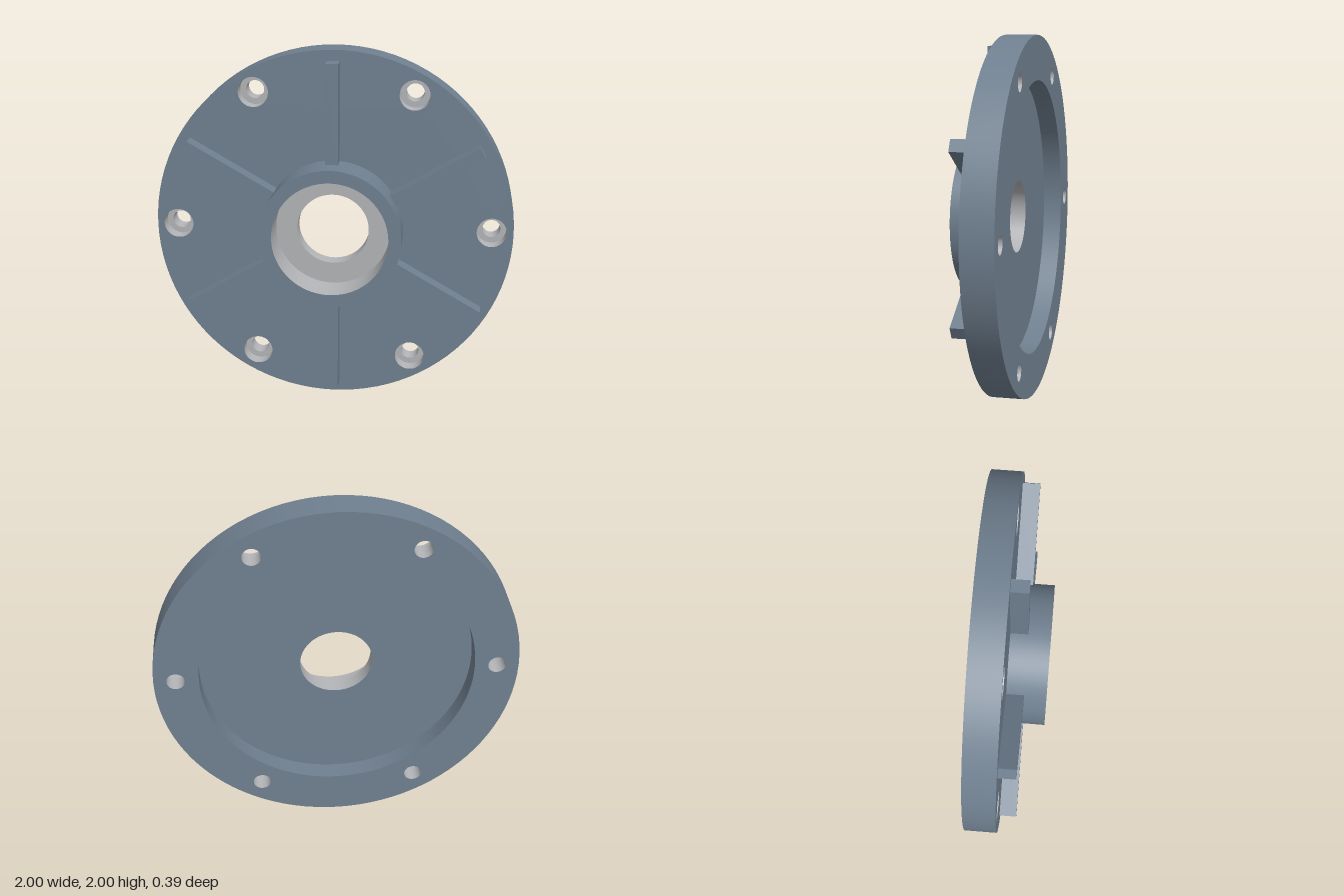
import * as THREE from 'three';
import { mergeGeometries } from 'three/addons/utils/BufferGeometryUtils.js';

const SEGMENTS = 96;
const BACK = -0.195, FACE = -0.02, HUB_TOP = 0.195, RIB_TOP = 0.075;
const RECESS_FLOOR = -0.09, BORE_FLOOR = 0;
const BOLT_CIRCLE = 0.88, BOLT_R = 0.05, COUNTERBORE_R = 0.083;

// Surface of revolution around z from [radius, z] points, with sharp edges between bands
function turned(profile) {
  const bands = [];
  for (let i = 0; i < profile.length - 1; i++) {
    const pair = [profile[i], profile[i + 1]].map(([r, z]) => new THREE.Vector2(r, z));
    bands.push(new THREE.LatheGeometry(pair, SEGMENTS));
  }
  return mergeGeometries(bands).rotateX(Math.PI / 2);
}

// Flat ring pierced by six bolt holes
function boltRing(outer, inner, holeRadius) {
  const shape = new THREE.Shape().absarc(0, 0, outer, 0, Math.PI * 2, false);
  const addHole = (x, y, r) =>
    shape.holes.push(new THREE.Path().absarc(x, y, r, 0, Math.PI * 2, true));
  addHole(0, 0, inner);
  for (let i = 0; i < 6; i++) {
    const a = (i * Math.PI) / 3;
    addHole(BOLT_CIRCLE * Math.cos(a), BOLT_CIRCLE * Math.sin(a), holeRadius);
  }
  return new THREE.ShapeGeometry(shape, SEGMENTS / 2);
}

export function createModel() {
  const paint = new THREE.MeshStandardMaterial({ color: 0x708090 });
  paint.name = 'slate paint';
  const metal = new THREE.MeshStandardMaterial({ color: 0xb4b5b8 });
  metal.name = 'machined metal';

  const group = new THREE.Group();
  group.name = 'flangedCover';
  const add = (name, geometry, material) => {
    const mesh = new THREE.Mesh(geometry, material);
    mesh.name = name;
    group.add(mesh);
    return mesh;
  };

  // Plate: front face, rim, back face and shallow back recess
  add('plateFront', boltRing(1, 0.39, COUNTERBORE_R), paint).position.z = FACE;
  add('plateRim', turned([[1, BACK], [1, FACE]]), paint);
  add('plateBack', boltRing(1, 0.755, BOLT_R).rotateY(Math.PI), paint).position.z = BACK;
  add('backRecess', turned([[0.2, RECESS_FLOOR], [0.755, RECESS_FLOOR], [0.755, BACK]]), paint);

  // Hub with a stepped centre bore
  add('hub', turned([[0.39, FACE], [0.39, HUB_TOP], [0.32, HUB_TOP]]), paint);
  add('centreBore', turned([
    [0.32, HUB_TOP], [0.32, BORE_FLOOR], [0.2, BORE_FLOOR], [0.2, RECESS_FLOOR],
  ]), metal);

  // Counterbored bolt holes, with stiffening ribs halfway between them
  const boltHole = turned([
    [COUNTERBORE_R, FACE], [COUNTERBORE_R, -0.1], [BOLT_R, -0.1], [BOLT_R, BACK],
  ]);
  const ribBase = FACE - 0.01;
  const rib = new THREE.BoxGeometry(0.57, 0.07, RIB_TOP - ribBase)
    .translate(0.655, 0, (RIB_TOP + ribBase) / 2);
  for (let i = 0; i < 6; i++) {
    const a = (i * Math.PI) / 3;
    add('boltHole', boltHole, metal)
      .position.set(BOLT_CIRCLE * Math.cos(a), BOLT_CIRCLE * Math.sin(a), 0);
    add('rib', rib, paint).rotation.z = a + Math.PI / 6;
  }

  // Stand the disc on the ground
  for (const part of group.children) part.position.y += 1;
  return group;
}
